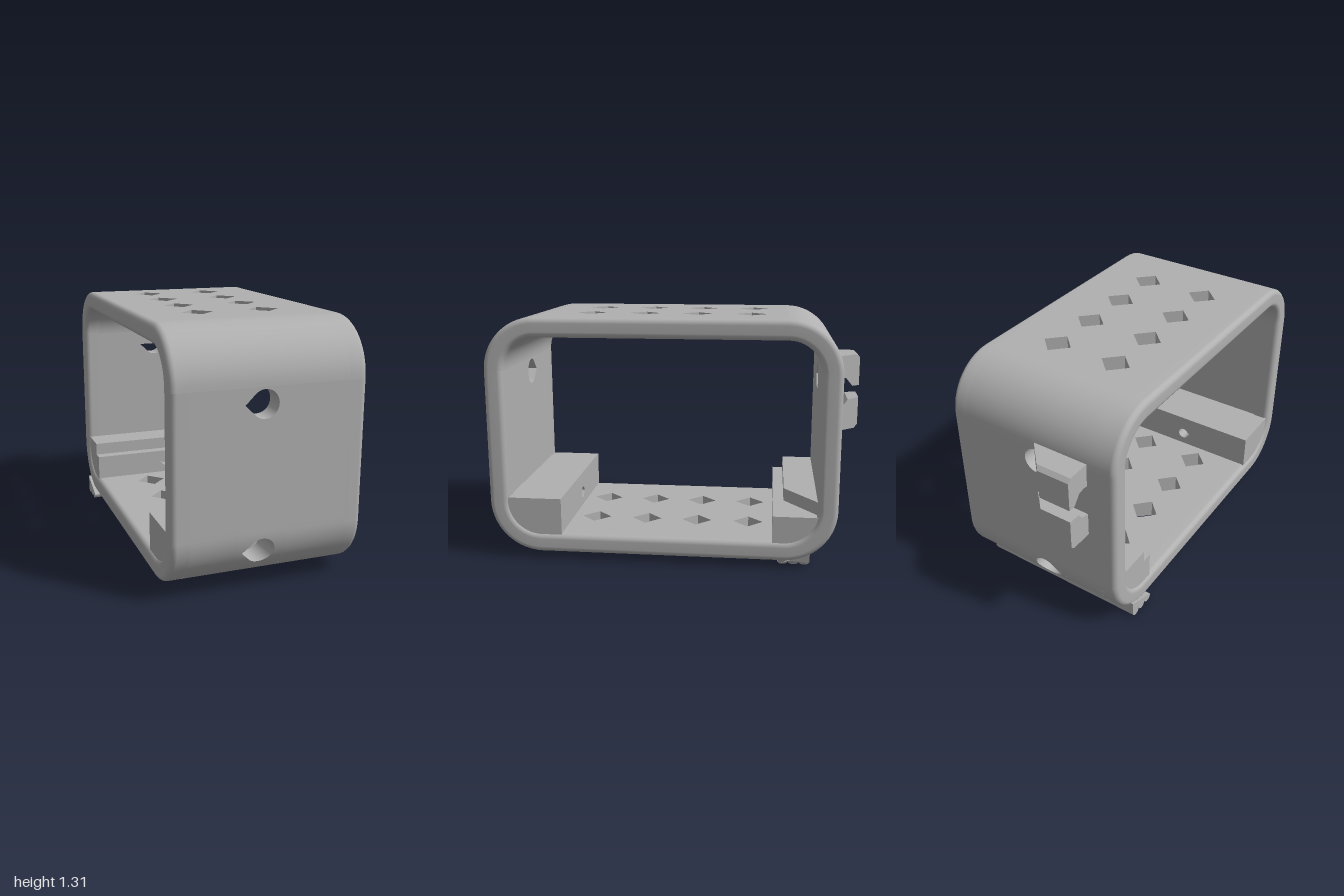
import * as THREE from 'three';

const HALF = 0.492, MID = 0.4, R = 0.28, WALL = 0.105;
const ZF = 0.72, ZB = -0.58, YB = 0.32, YT = 1.03; // centres of the corner arcs
const HX = -0.035, HY = 0.22, HR = 0.07;           // lower screw hole

const plastic = new THREE.MeshStandardMaterial({ color: 0xb0b0b0, side: THREE.DoubleSide });
plastic.name = 'grey plastic';

function add(parent, name, geometry) {
  const mesh = new THREE.Mesh(geometry, plastic);
  mesh.name = name;
  parent.add(mesh);
  return mesh;
}

// Surface through rows of [x, y, z] points
function grid(rows) {
  const n = rows[0].length, index = [];
  for (let i = 0; i < rows.length - 1; i++) {
    for (let j = 0; j < n - 1; j++) {
      const a = i * n + j, b = a + n;
      index.push(a, b, a + 1, b, b + 1, a + 1);
    }
  }
  const g = new THREE.BufferGeometry();
  g.setAttribute('position', new THREE.Float32BufferAttribute(rows.flat(2), 3));
  g.setIndex(index);
  g.computeVertexNormals();
  return g;
}

const steps = (n, f) => Array.from({ length: n + 1 }, (_, i) => f(i / n));

// Corner arc as [z, y] points
const arc = (cz, cy, r, a0, a1, n = 14) => steps(n, t => {
  const a = a0 + (a1 - a0) * t;
  return [cz + r * Math.cos(a), cy + r * Math.sin(a)];
});

const strip = (x0, x1, pts) => grid([x0, x1].map(x => pts.map(([z, y]) => [x, y, z])));

// Closed rounded rectangle, offset inwards by d
function loop(d) {
  const q = Math.PI / 2;
  const pts = [[ZF, YT], [ZB, YT], [ZB, YB], [ZF, YB]]
    .flatMap(([z, y], k) => arc(z, y, R - d, k * q, (k + 1) * q));
  return [...pts, pts[0]];
}

// Rounded rim at one open end
function rim(side) {
  const r = 0.03;
  const round = (d, s) => steps(5, t => {
    const a = (s < 0 ? t : 1 - t) * Math.PI / 2;
    return [HALF - r + r * Math.sin(a), d + s * r * Math.cos(a)];
  });
  const profile = [[MID, 0], ...round(r, -1), ...round(WALL - r, 1), [MID, WALL]];
  return grid(profile.map(([x, d]) => loop(d).map(([z, y]) => [side * x, y, z])));
}

// Teardrop radius at an angle, its tip towards -x
function tear(r, a) {
  const b = Math.abs(Math.atan2(Math.sin(a), Math.cos(a))), k = 0.75 * Math.PI;
  return b < k ? r : r / Math.cos(b - k);
}
const square = (h, a) => h / Math.max(Math.abs(Math.cos(a)), Math.abs(Math.sin(a)));

function tearPath(x, y, r) {
  return new THREE.Path(steps(64, t => {
    const a = t * Math.PI * 2, p = tear(r, a);
    return new THREE.Vector2(x + p * Math.cos(a), y + p * Math.sin(a));
  }).slice(0, -1));
}

function diamondPath(x, y) {
  const r = 0.083;
  return new THREE.Path([[r, 0], [0, r], [-r, 0], [0, -r]].map(([a, b]) => new THREE.Vector2(x + a, y + b)));
}

// Flat plate with holes
function plate(x0, x1, y0, y1, depth, holes) {
  const s = new THREE.Shape([[x0, y0], [x1, y0], [x1, y1], [x0, y1]].map(p => new THREE.Vector2(...p)));
  s.holes = holes;
  return new THREE.ExtrudeGeometry(s, { depth, bevelEnabled: false });
}

// Section in (depth u = -z, height y) run along x; the far end may slant
function alongX(shape, x0, x1) {
  const g = new THREE.ExtrudeGeometry(shape, { depth: 1, bevelEnabled: false, curveSegments: 10 });
  const p = g.attributes.position;
  for (let i = 0; i < p.count; i++) {
    const u = p.getX(i), y = p.getY(i), w = p.getZ(i);
    p.setXYZ(i, x0 + (x1(u, y) - x0) * w, y, -u);
  }
  g.computeVertexNormals();
  return g;
}
const polygon = pts => new THREE.Shape(pts.map(p => new THREE.Vector2(...p)));

// Ring surface around the screw axis between two outlines
const around = (rho, zAt, n) => grid(steps(n, v => steps(64, t => {
  const a = t * Math.PI * 2, p = rho(a, v);
  const x = HX + p * Math.cos(a), y = HY + p * Math.sin(a);
  return [x, y, zAt(y, v)];
})));

// Lower corner with block and countersunk screw hole; local z is 0 at the arc centre
function lowerCorner(name, face, top, blind) {
  const g = new THREE.Group();
  g.name = name;
  const h = 0.125, x0 = HX - h, x1 = HX + h, floor = 0.08, small = 0.033;
  const outer = y => Math.sqrt(R * R - Math.max(0, YB - y) ** 2);
  const full = [[R, HY + h], ...arc(0, YB, R, 0, -Math.PI / 2, 20)];
  add(g, 'cornerSkin', strip(-MID, x0, full));
  add(g, 'cornerSkin', strip(x1, MID, full));
  add(g, 'cornerSkin', strip(x0, x1, arc(0, YB, R, -Math.asin((YB - HY + h) / R), -Math.PI / 2)));
  add(g, 'holeSurround', around((a, v) => tear(HR, a) * (1 - v) + square(h, a) * v, outer, 10));
  add(g, 'countersinkWall', around(a => tear(HR, a), (y, v) => outer(y) * (1 - v) + floor * v, 2));
  add(g, 'countersinkFloor', around((a, v) => tear(HR * (1 - v) + small * v, a), () => floor, 1));
  add(g, 'screwHole', around(a => tear(small, a), (y, v) => floor * (1 - v) + face * v, 1));
  if (blind) add(g, 'screwHoleEnd', around((a, v) => tear(small * v, a), () => 0, 1));
  // Inner block, left open around the screw
  const section = polygon([[-face, 0.1], [-face, top], [-0.2, top], [-0.2, 0.2], [-0.08, 0.1]]);
  add(g, 'innerBlock', alongX(section, -0.48, () => x0));
  add(g, 'innerBlock', alongX(section, x1, () => 0.48));
  add(g, 'blockFace', plate(x0, x1, 0.1, top, 0.03, [tearPath(HX, HY, small)])).position.z = face;
  const lid = add(g, 'blockTop', new THREE.BoxGeometry(2 * h, 0.01, 0.25 - face));
  lid.position.set(HX, top - 0.005, (0.25 + face) / 2);
  return g;
}

export function createModel() {
  const model = new THREE.Group();
  model.name = 'openFrame';

  // Rims and upper corners
  for (const s of [-1, 1]) add(model, 'rim', rim(s));
  for (const d of [0, WALL]) {
    add(model, 'upperFrontCorner', strip(-MID, MID, arc(ZF, YT, R - d, 0, Math.PI / 2)));
    add(model, 'upperBackCorner', strip(-MID, MID, arc(ZB, YT, R - d, Math.PI / 2, Math.PI)));
  }

  // Top and bottom walls with diamond openings
  for (const [name, y] of [['topWall', YT + R], ['bottomWall', YB - R + WALL]]) {
    const holes = [-0.18, 0.175].flatMap(x => [-0.385, -0.095, 0.19, 0.48].map(z => diamondPath(x, z)));
    const g = plate(-MID, MID, ZB, ZF, WALL, holes).rotateX(Math.PI / 2);
    add(model, name, g).position.y = y;
  }

  // Front and back walls with teardrop openings
  for (const [name, z] of [['frontWall', ZF + R - WALL], ['backWall', ZB - R]]) {
    add(model, name, plate(-MID, MID, 0.345, YT, WALL, [tearPath(HX, 0.95, HR)])).position.z = z;
  }

  // Lower corners
  const front = lowerCorner('lowerFrontCorner', -0.11, 0.34, false);
  front.position.z = ZF;
  const back = lowerCorner('lowerBackCorner', -0.06, 0.285, true);
  back.position.z = ZB;
  back.scale.z = -1;
  model.add(front, back);

  // Stepped ledge on the back block, slanted at one end
  add(model, 'backLedge', alongX(polygon([[0.58, 0.27], [0.79, 0.27], [0.79, 0.355], [0.58, 0.355]]),
    -0.48, u => 0.2 + (u - 0.58) / 0.21 * 0.28));

  // Ribbed rail under the back edge
  const ribs = new THREE.Shape();
  ribs.moveTo(0.55, 0.1);
  for (const u of [0.579, 0.636, 0.693]) ribs.absarc(u, 0.0285, 0.0285, Math.PI, 2 * Math.PI, false);
  ribs.lineTo(0.7215, 0.1);
  add(model, 'ribbedRail', alongX(ribs, -0.505, (u, y) => 0.42 + Math.min(y, 0.04)));

  // Snap clip on the back: two jaws around a keyhole gap
  const jaws = {
    upperJaw: [[0.85, 1.06], [0.98, 1.06], [1, 1.04], [1, 0.88], [0.96, 0.88], [0.92, 0.93], [0.885, 0.935], [0.85, 0.93]],
    lowerJaw: [[0.85, 0.63], [0.98, 0.63], [1, 0.65], [1, 0.81], [0.935, 0.805], [0.905, 0.77], [0.85, 0.755]],
  };
  for (const [name, pts] of Object.entries(jaws)) {
    add(model, name, alongX(polygon(pts), -0.335, u => -0.16 + (1 - u) * 0.93));
  }
  return model;
}
